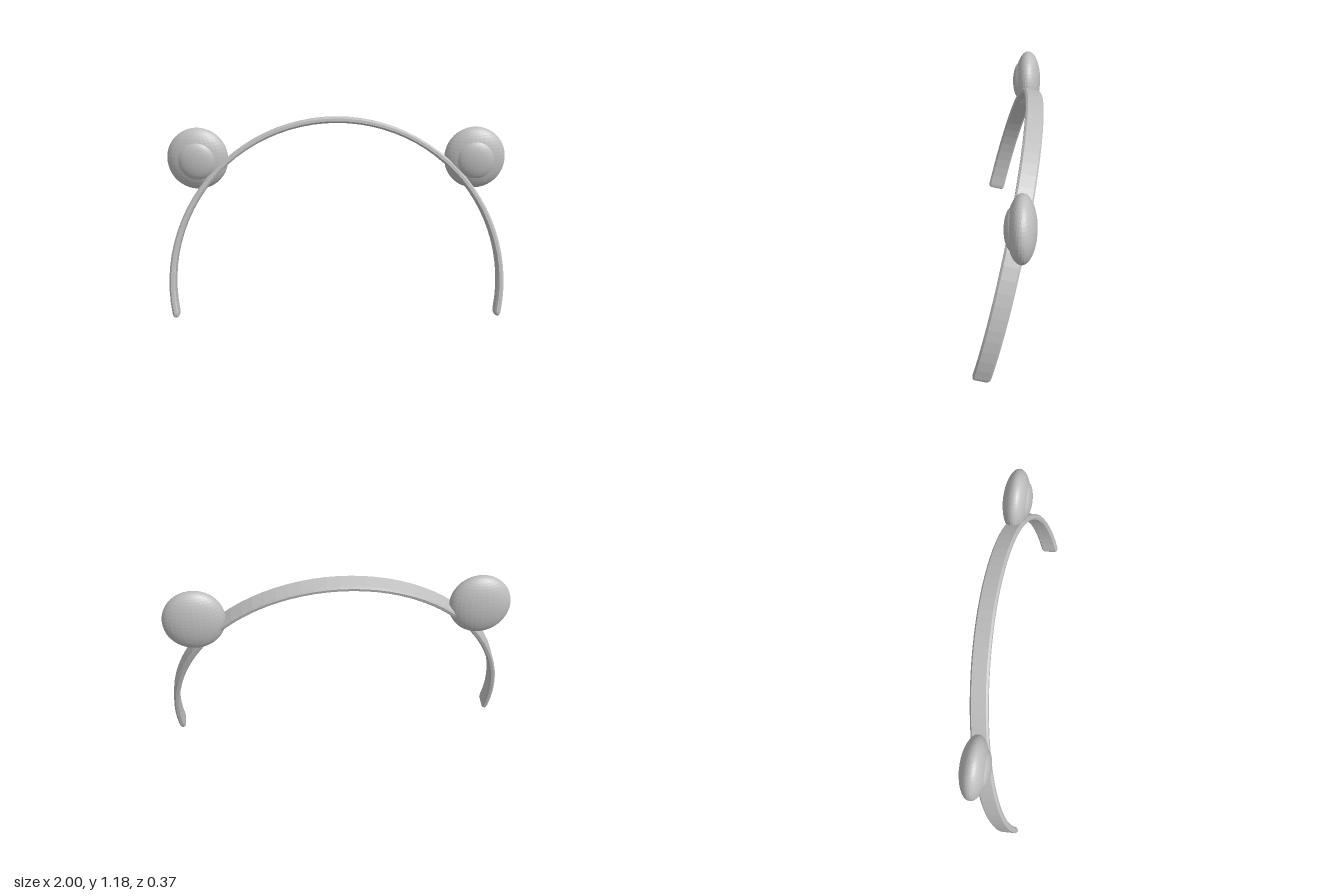
import * as THREE from 'three';

const DEG = Math.PI / 180;

// Sweeps a bevelled strip section round a circular arc, narrowing at the tips.
function bandGeometry(radius, halfThick, halfWidth, bevel, overhang, steps) {
  const t = halfThick, w = halfWidth, c = bevel;
  const section = [
    [t, -w + c], [t, w - c], [t - c, w], [-t + c, w],
    [-t, w - c], [-t, -w + c], [-t + c, -w], [t - c, -w],
  ];
  const n = section.length;

  // Rings: tapered tip, full arc, tapered tip
  const rings = [[-overhang - 1.5, 0.55, 0.8], [-overhang - 0.9, 0.85, 0.95]];
  for (let i = 0; i <= steps; i++) {
    rings.push([-overhang + (180 + 2 * overhang) * i / steps, 1, 1]);
  }
  rings.push([180 + overhang + 0.9, 0.85, 0.95], [180 + overhang + 1.5, 0.55, 0.8]);

  const positions = [], index = [];
  for (const [deg, thickScale, widthScale] of rings) {
    for (const [a, b] of section) {
      const r = radius + a * thickScale;
      positions.push(r * Math.cos(deg * DEG), r * Math.sin(deg * DEG), b * widthScale);
    }
  }
  for (let i = 0; i < rings.length - 1; i++) {
    for (let j = 0; j < n; j++) {
      const p = i * n + j, q = i * n + (j + 1) % n;
      index.push(p, p + n, q, q, p + n, q + n);
    }
  }
  // End caps
  const last = (rings.length - 1) * n;
  for (let j = 1; j < n - 1; j++) {
    index.push(0, j, j + 1, last, last + j + 1, last + j);
  }

  const geometry = new THREE.BufferGeometry();
  geometry.setAttribute('position', new THREE.Float32BufferAttribute(positions, 3));
  geometry.setIndex(index);
  geometry.computeVertexNormals();
  return geometry;
}

export function createModel() {
  const model = new THREE.Group();
  model.name = 'earHeadband';
  const grey = new THREE.MeshStandardMaterial({ color: 0xbfbfbf, flatShading: true });
  grey.name = 'light grey';

  // Headband leaning backwards
  const band = new THREE.Mesh(bandGeometry(0.982, 0.018, 0.052, 0.01, 10, 48), grey);
  band.name = 'headband';
  band.position.set(0, 0.207, 0.092);
  band.rotation.x = -13.2 * DEG;
  model.add(band);

  // Round ears, each with a raised inner pad on the front
  const ball = new THREE.SphereGeometry(1, 32, 24);
  for (const side of [1, -1]) {
    const ear = new THREE.Group();
    ear.name = side > 0 ? 'leftEar' : 'rightEar';
    ear.position.set(side * 0.82, 0.943, -0.082);

    const outer = new THREE.Mesh(ball, grey);
    outer.name = 'outerEar';
    outer.scale.set(0.18, 0.187, 0.08);

    const inner = new THREE.Mesh(ball, grey);
    inner.name = 'innerEar';
    inner.position.z = 0.051;
    inner.scale.set(0.111, 0.116, 0.044);

    ear.add(outer, inner);
    model.add(ear);
  }
  return model;
}
